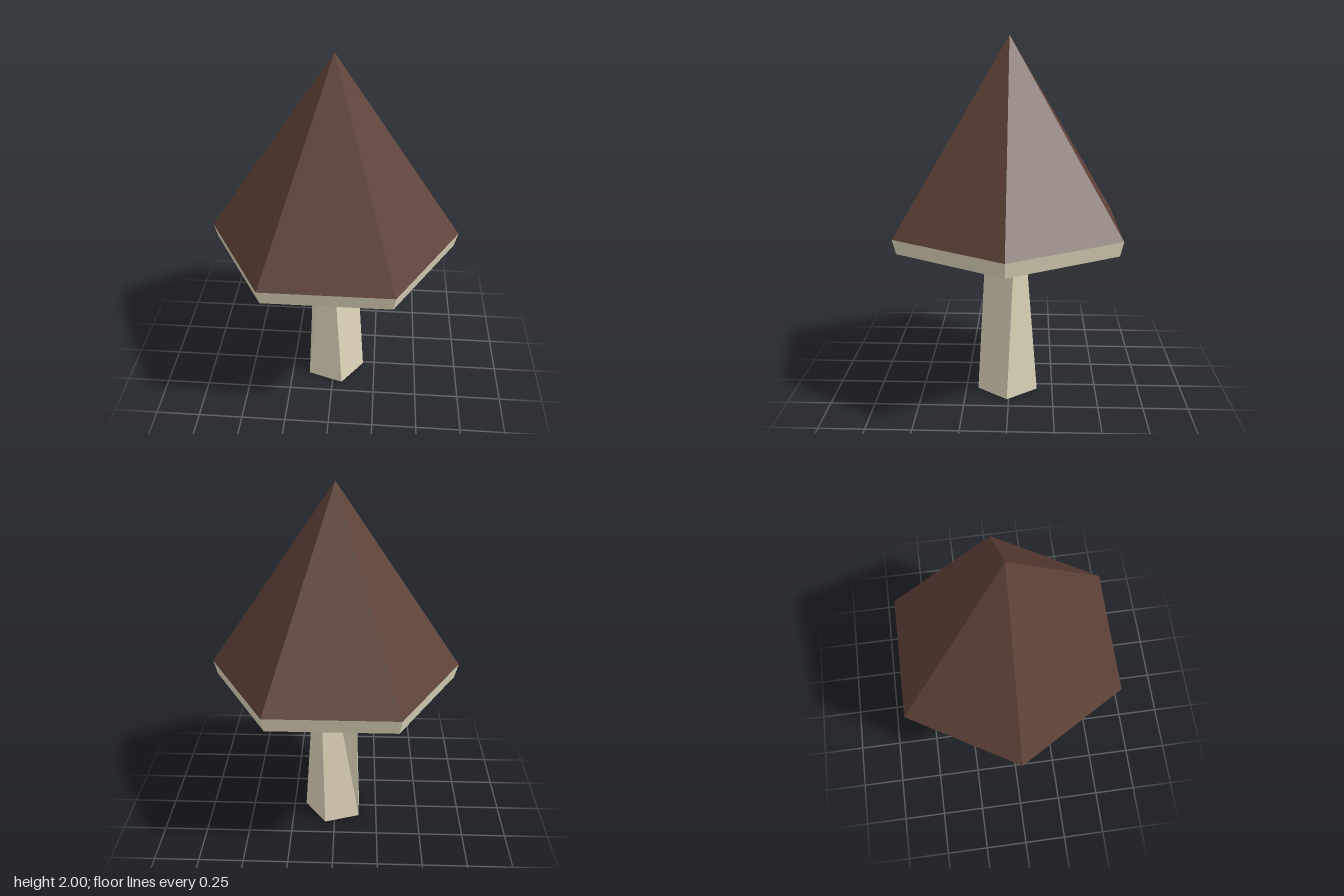
import * as THREE from 'three';

const brown = new THREE.MeshStandardMaterial({ color: 0x5d4037, flatShading: true, side: THREE.DoubleSide });
brown.name = 'capBrown';
const cream = new THREE.MeshStandardMaterial({ color: 0xdfd6bb, flatShading: true, side: THREE.DoubleSide });
cream.name = 'stemCream';

function add(group, name, geometry, material) {
  const mesh = new THREE.Mesh(geometry, material);
  mesh.name = name;
  group.add(mesh);
  return mesh;
}

// Stem wall: a five-sided foot that narrows to a three-sided top, open at both ends
function stemGeometry() {
  const foot = [];
  for (let i = 0; i < 5; i++) {
    const a = (i * 2 * Math.PI) / 5;
    foot.push([0.18 * Math.cos(a), 0, 0.18 * Math.sin(a) + 0.01]);
  }
  const tip = [[0.088, 1.36, -0.052], [-0.026, 1.36, 0.106], [-0.1, 1.36, -0.1]];
  const target = [0, 1, 1, 2, 0]; // tip corner that each foot corner runs to
  const pos = [];
  for (let i = 0; i < 5; i++) {
    const j = (i + 1) % 5;
    const a = foot[i], b = foot[j], c = tip[target[j]], d = tip[target[i]];
    pos.push(...a, ...c, ...b);
    if (c !== d) pos.push(...a, ...d, ...c);
  }
  const g = new THREE.BufferGeometry();
  g.setAttribute('position', new THREE.Float32BufferAttribute(pos, 3));
  g.computeVertexNormals();
  return g;
}

export function createModel() {
  const model = new THREE.Group();
  model.name = 'mushroom';

  add(model, 'stem', stemGeometry(), cream);

  // Hollow six-sided cap, corners on the x axis
  const cap = add(model, 'cap', new THREE.ConeGeometry(0.68, 1, 6, 1, true), brown);
  cap.rotation.y = Math.PI / 6;
  cap.position.y = 1.5;

  // Thin band hanging below the cap edge
  const rim = add(model, 'capRim', new THREE.CylinderGeometry(0.68, 0.66, 0.08, 6, 1, true), cream);
  rim.rotation.y = Math.PI / 6;
  rim.position.y = 0.96;

  return model;
}
